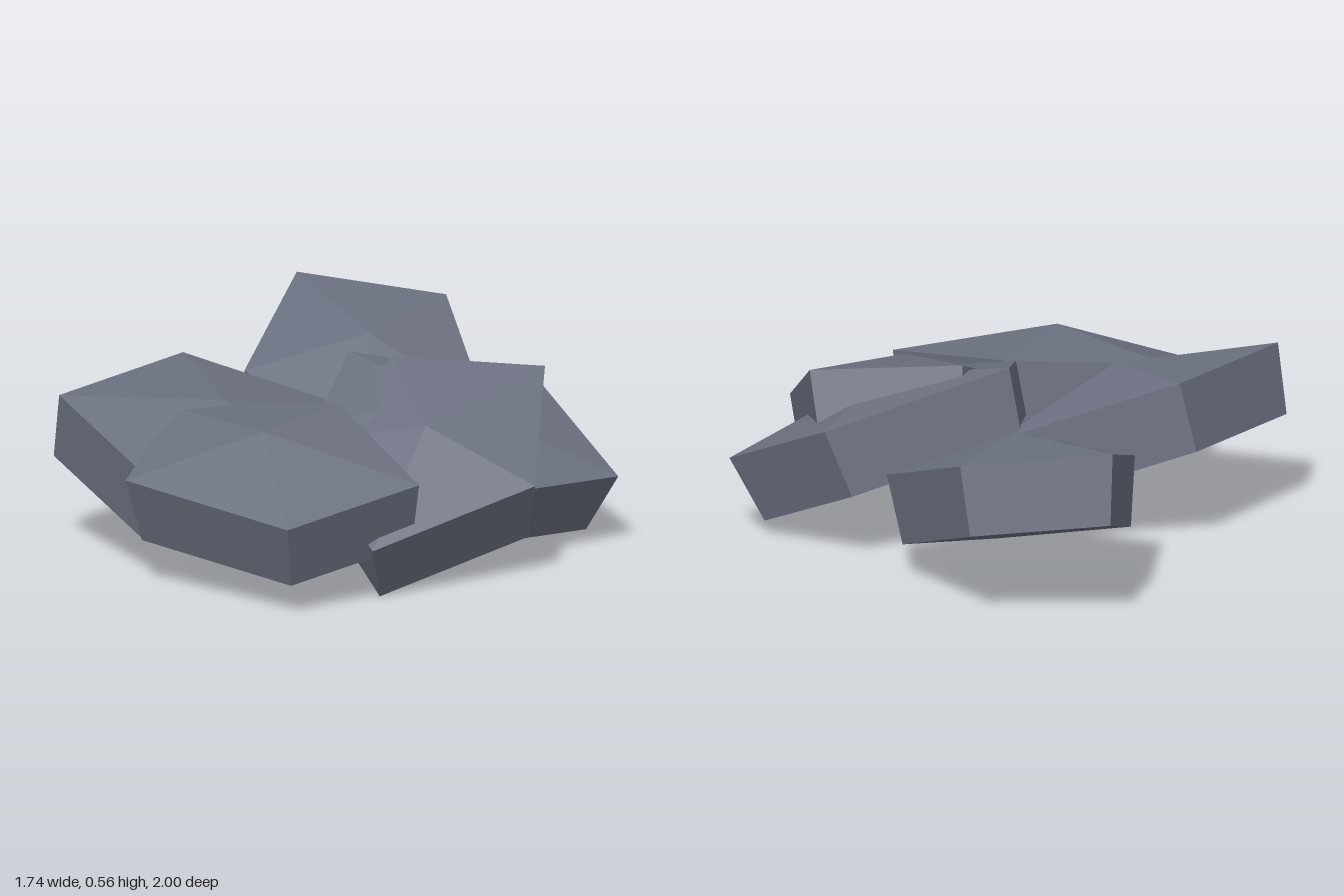
import * as THREE from 'three';

const stone = new THREE.MeshStandardMaterial({ color: 0x6b7080, flatShading: true });
stone.name = 'slate grey';

const THICKNESS = 0.22; // slab depth along its own normal
const TAPER = 0.92;     // underside size relative to the top
const RISE = 0.105;     // height of the blunt point above the rim

// Each slab: rim corners [x, z], its tilted plane y = c + a*x + b*z, and the peak [x, z].
const slabs = [
  { name: 'backSlab', plane: [0.23, 0.01, -0.318], peak: [0.18, -0.48],
    rim: [[0.01, -0.98], [-0.21, -0.48], [0.12, -0.02], [0.52, -0.23], [0.46, -0.83]] },
  { name: 'rightSlab', plane: [0.35, -0.244, -0.3], peak: [-0.34, 0.17],
    rim: [[-0.43, -0.23], [-0.86, 0.15], [-0.6, 0.55], [-0.02, 0.41], [0.12, -0.1]] },
  { name: 'leftSlab', plane: [0.567, -0.259, -0.327], peak: [0.39, 0.27],
    rim: [[0.07, -0.05], [-0.08, 0.36], [0.32, 0.63], [0.87, 0.31], [0.68, -0.09]] },
  { name: 'frontSlab', plane: [0.556, 0.097, -0.225], peak: [-0.27, 0.575],
    rim: [[-0.7, 0.57], [-0.24, 0.99], [0.19, 0.82], [0, 0.27], [-0.5, 0.17]] },
  { name: 'frontLeftSlab', plane: [0.556, 0.089, -0.427], peak: [0.25, 0.48],
    rim: [[0.2, 0.02], [-0.12, 0.35], [0.04, 0.86], [0.57, 0.66], [0.66, 0.14]] },
];

function makeSlab({ name, plane: [c, a, b], peak, rim }) {
  const onPlane = ([x, z]) => new THREE.Vector3(x, c + a * x + b * z, z);
  const normal = new THREE.Vector3(-a, 1, -b).normalize();
  const top = rim.map(onPlane);
  const centre = top.reduce((sum, p) => sum.add(p), new THREE.Vector3()).divideScalar(top.length);
  const drop = normal.clone().multiplyScalar(-THICKNESS);
  const bottom = top.map((p) => centre.clone().lerp(p, TAPER).add(drop));
  const base = centre.clone().add(drop);
  const apex = onPlane(peak);
  apex.y += RISE;

  // Peak facets, side walls and flat underside, one wedge per rim edge
  const points = [];
  top.forEach((p, i) => {
    const j = (i + 1) % top.length;
    points.push(apex, p, top[j]);
    points.push(p, bottom[i], bottom[j], p, bottom[j], top[j]);
    points.push(base, bottom[j], bottom[i]);
  });
  const geometry = new THREE.BufferGeometry().setFromPoints(points);
  geometry.computeVertexNormals();
  const mesh = new THREE.Mesh(geometry, stone);
  mesh.name = name;
  return mesh;
}

export function createModel() {
  const group = new THREE.Group();
  group.name = 'stoneSlabs';
  slabs.forEach((slab) => group.add(makeSlab(slab)));
  return group;
}
